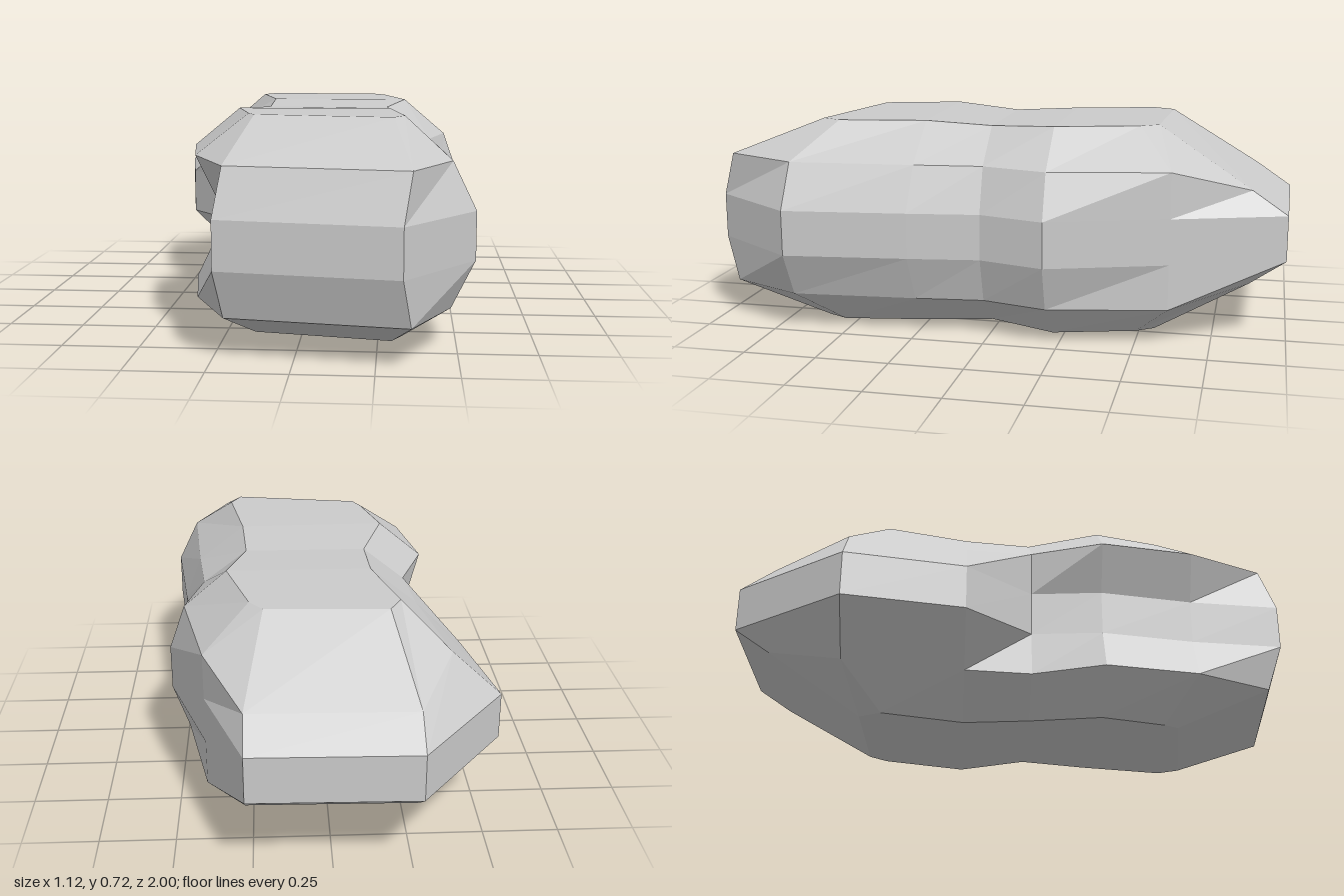
import * as THREE from 'three';

const MID_Y = 0.361;

// One column per corner of the outline, counter-clockwise from the front +x corner.
// Each column: belt [x, z], shoulder [x, z], cap [x, z], optional shoulder and cap heights above mid.
const columns = [
  { belt: [0.33, 0.995], shoulder: [0.355, 0.945], cap: [0.295, 0.62] },
  { belt: [0.555, 0.685], shoulder: [0.48, 0.68], cap: [0.33, 0.55] },
  { belt: [0.505, 0.26], shoulder: [0.445, 0.25], cap: [0.28, 0.25] },
  { belt: [0.47, 0.015], shoulder: [0.42, 0.015], cap: [0.265, 0.02], capH: 0.348 },
  { belt: [0.535, -0.21], shoulder: [0.48, -0.21], cap: [0.33, -0.21] },
  { belt: [0.4, -0.61], shoulder: [0.4, -0.61], cap: [0.25, -0.49] },
  { belt: [0.27, -0.99], shoulder: [0.27, -0.87], cap: [0.205, -0.55], shoulderH: 0.16 },
  { belt: [-0.27, -1], shoulder: [-0.27, -0.88], cap: [-0.2, -0.565], shoulderH: 0.16 },
  { belt: [-0.56, -0.62], shoulder: [-0.395, -0.62], cap: [-0.24, -0.49] },
  { belt: [-0.485, -0.21], shoulder: [-0.325, -0.21], cap: [-0.165, -0.21] },
  { belt: [-0.295, 0.02], shoulder: [-0.305, 0.02], cap: [-0.16, 0.02], capH: 0.348 },
  { belt: [-0.32, 0.265], shoulder: [-0.395, 0.265], cap: [-0.24, 0.265] },
  { belt: [-0.265, 0.59], shoulder: [-0.34, 0.59], cap: [-0.18, 0.49] },
  { belt: [-0.24, 0.91], shoulder: [-0.215, 0.86], cap: [-0.155, 0.54] },
];

// Ring of corners at one level; sign -1 gives the mirrored lower half
function ring(level, sign) {
  return columns.map((c) => {
    const h = { belt: 0.078, shoulder: c.shoulderH ?? 0.233, cap: c.capH ?? 0.361 }[level];
    return [c[level][0], MID_Y + sign * h, c[level][1]];
  });
}

function rockGeometry() {
  const rings = [
    ring('cap', -1), ring('shoulder', -1), ring('belt', -1),
    ring('belt', 1), ring('shoulder', 1), ring('cap', 1),
  ];
  const n = columns.length;
  const index = [];
  const quad = (a, b, c, d) => index.push(a, b, c, a, c, d);

  // Side facets between neighbouring rings
  for (let r = 0; r < rings.length - 1; r++) {
    for (let i = 0; i < n; i++) {
      const j = (i + 1) % n;
      quad(r * n + i, r * n + j, (r + 1) * n + j, (r + 1) * n + i);
    }
  }
  // Top and bottom, as strips across the rock
  const top = (rings.length - 1) * n;
  for (let i = 0; i < n / 2 - 1; i++) {
    const k = n - 1 - i;
    quad(top + i, top + i + 1, top + k - 1, top + k);
    quad(k, k - 1, i + 1, i);
  }

  const geometry = new THREE.BufferGeometry();
  geometry.setAttribute('position', new THREE.Float32BufferAttribute(rings.flat(2), 3));
  geometry.setIndex(index);
  const faceted = geometry.toNonIndexed();
  faceted.computeVertexNormals();
  return faceted;
}

export function createModel() {
  const group = new THREE.Group();
  group.name = 'boulder';
  const rock = new THREE.Mesh(
    rockGeometry(),
    new THREE.MeshStandardMaterial({ color: 0xcccccc, flatShading: true }),
  );
  rock.name = 'rock';
  group.add(rock);
  return group;
}
